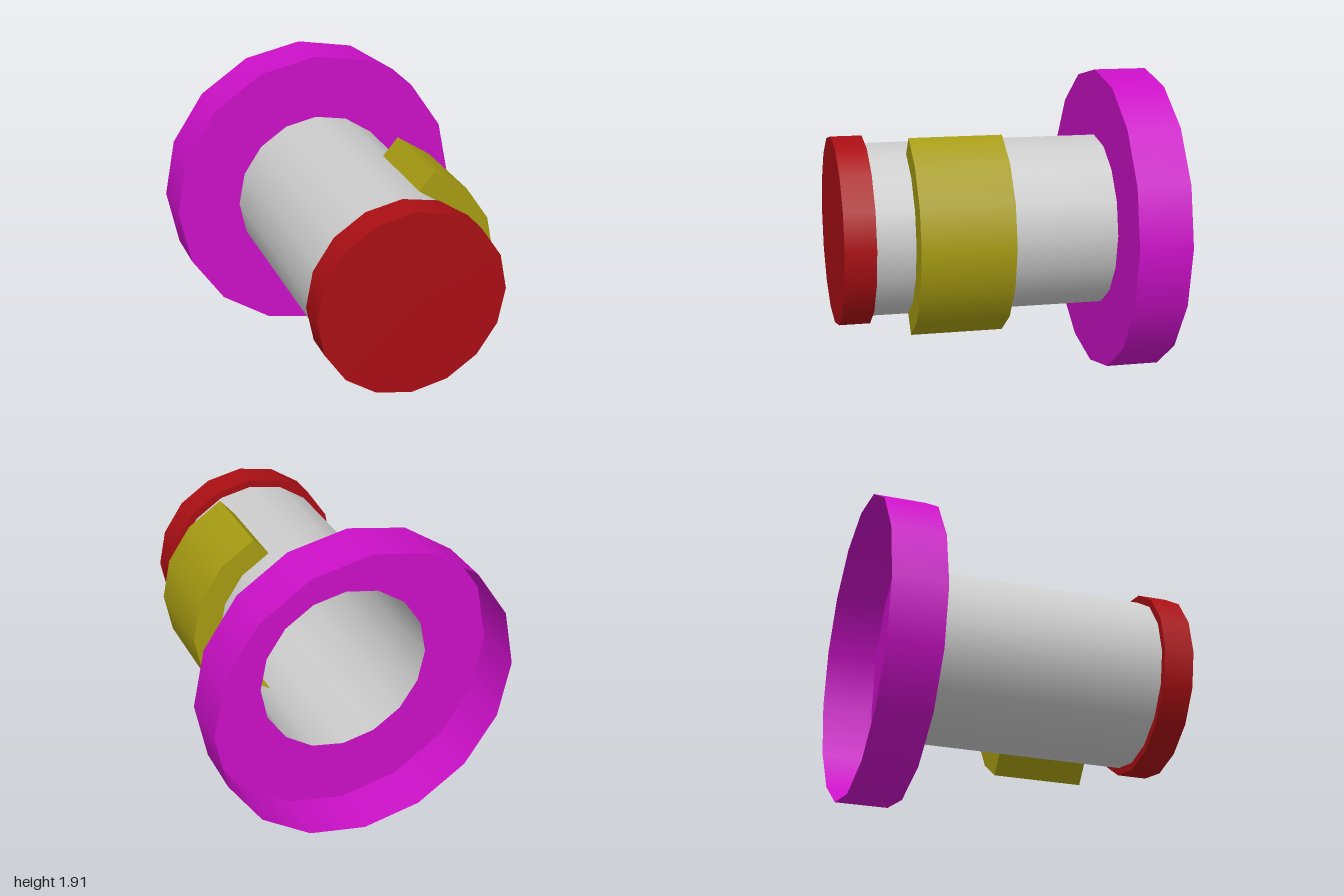
import * as THREE from 'three';

const SIDES = 16, STEP = (Math.PI * 2) / SIDES;
const PIPE_R = 0.54, FLANGE_R = 0.953, CAP_R = 0.587;
const POCKET_R = 0.66, POCKET_X = 0.05; // pocket arc is offset sideways
const Z = { back: -1, flange: -0.67, pocketA: 0, pocketB: 0.57, cap: 0.81, front: 1 };

const mat = (color) => new THREE.MeshStandardMaterial({ color, side: THREE.DoubleSide });

// Open wall along z, covering `count` sides from side `first` (0 = bottom, 4 = +x)
function wall(r, z0, z1, first = 0, count = SIDES) {
  const g = new THREE.CylinderGeometry(r, r, z1 - z0, count, 1, true, first * STEP, count * STEP);
  return g.rotateX(Math.PI / 2).translate(0, 0, (z0 + z1) / 2);
}

// Flat ring or disc across the axis
function ring(inner, outer, z, back = false) {
  const g = inner > 0 ? new THREE.RingGeometry(inner, outer, SIDES) : new THREE.CircleGeometry(outer, SIDES);
  if (back) g.rotateY(Math.PI);
  return g.translate(0, 0, z);
}

// Points of an arc spanning the six sides of the pocket
function arc(r, cx) {
  return Array.from({ length: 7 }, (_, i) =>
    new THREE.Vector2(cx + r * Math.cos((i - 3) * STEP), r * Math.sin((i - 3) * STEP)));
}

export function createModel() {
  const model = new THREE.Group();

  function part(name, color, geometries) {
    const group = new THREE.Group();
    group.name = name;
    const material = mat(color);
    geometries.forEach((g) => {
      const mesh = new THREE.Mesh(g, material);
      mesh.name = name + 'Surface';
      group.add(mesh);
    });
    group.position.y = FLANGE_R;
    model.add(group);
  }

  // Thin pipe with a window on its left side
  part('pipe', 0xcccccc, [
    wall(PIPE_R, Z.flange, Z.pocketA),
    wall(PIPE_R, Z.pocketA, Z.pocketB, 7, 10),
    wall(PIPE_R, Z.pocketB, Z.cap),
  ]);

  // Cup-shaped flange, open at the back
  part('flange', 0xcc10c8, [
    wall(FLANGE_R, Z.back, Z.flange),
    ring(PIPE_R, FLANGE_R, Z.flange),
  ]);

  // Closed front cap
  part('endCap', 0xaa0f14, [
    wall(CAP_R, Z.cap, Z.front),
    ring(PIPE_R, CAP_R, Z.cap, true),
    ring(0, CAP_R, Z.front),
  ]);

  // Hollow side pocket, open to the bore through the window
  const inner = arc(PIPE_R, 0), outer = arc(POCKET_R, POCKET_X);
  const outline = new THREE.Shape([...outer, ...inner.slice().reverse()]);
  const endFace = (z) => new THREE.ShapeGeometry(outline).translate(0, 0, z);
  const backFace = endFace(0).rotateY(Math.PI).scale(-1, 1, 1).translate(0, 0, Z.pocketA);
  // keep the back face wound towards -z after mirroring
  backFace.setIndex(Array.from(backFace.index.array).reverse());
  backFace.computeVertexNormals();
  const sideWall = (i) => {
    const a = inner[i], b = outer[i];
    const g = new THREE.BufferGeometry().setFromPoints([
      new THREE.Vector3(a.x, a.y, Z.pocketA), new THREE.Vector3(b.x, b.y, Z.pocketA),
      new THREE.Vector3(b.x, b.y, Z.pocketB), new THREE.Vector3(a.x, a.y, Z.pocketB)]);
    g.setIndex(i === 0 ? [0, 1, 2, 0, 2, 3] : [0, 2, 1, 0, 3, 2]);
    g.computeVertexNormals();
    return g;
  };
  part('sidePocket', 0xa69b12, [
    wall(POCKET_R, Z.pocketA, Z.pocketB, 1, 6).translate(POCKET_X, 0, 0),
    endFace(Z.pocketB),
    backFace,
    sideWall(0),
    sideWall(6),
  ]);

  return model;
}
